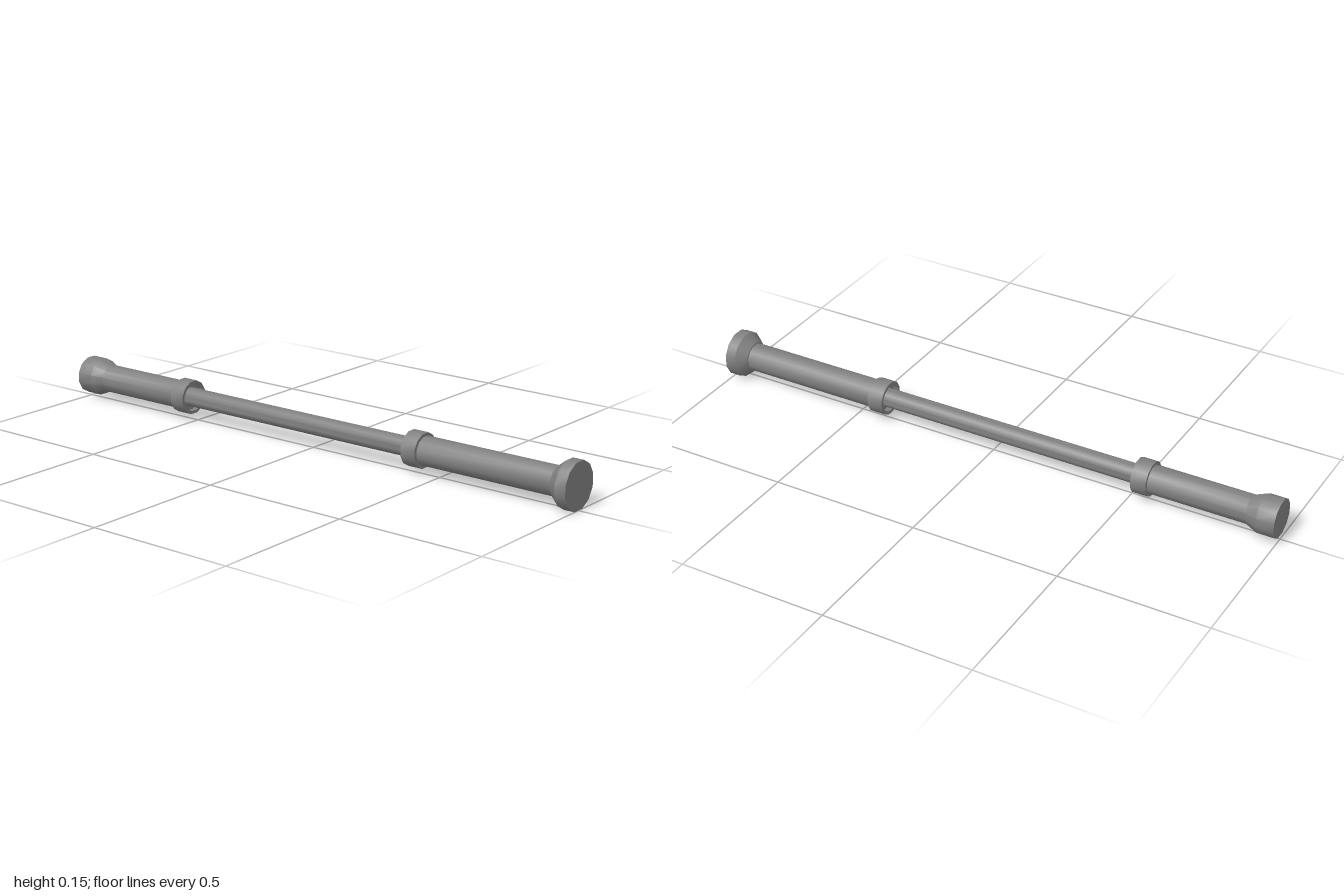
import * as THREE from 'three';
import { toCreasedNormals } from 'three/addons/utils/BufferGeometryUtils.js';

const SIDES = 12;
const AXIS_Y = 0.076;
const FLAT = Math.cos(Math.PI / SIDES); // half width across flats to corner radius

export function createModel() {
  const metal = new THREE.MeshStandardMaterial({ color: 0x808080 });
  metal.name = 'grey metal';

  const group = new THREE.Group();
  group.name = 'telescopicBar';

  // Turned part along x; profile is [x, half width across flats] from -x to +x
  function turned(name, profile) {
    const points = profile.map(([x, r]) => new THREE.Vector2(r / FLAT, x));
    const lathe = new THREE.LatheGeometry(points, SIDES, Math.PI / SIDES);
    lathe.rotateZ(-Math.PI / 2);
    const mesh = new THREE.Mesh(toCreasedNormals(lathe, 0.62), metal);
    mesh.name = name;
    mesh.position.y = AXIS_Y;
    group.add(mesh);
  }

  // Thin inner rod
  turned('innerRod', [[-0.56, 0], [-0.56, 0.031], [0.44, 0.031], [0.44, 0]]);

  // Right grip with a flared butt, and its collar with a shallow bore
  turned('rightGrip', [
    [-1, 0], [-1, 0.062], [-0.94, 0.062], [-0.9, 0.046], [-0.535, 0.046], [-0.535, 0],
  ]);
  turned('rightCollar', [
    [-0.57, 0.046], [-0.57, 0.056], [-0.517, 0.056], [-0.517, 0.046], [-0.54, 0.046],
  ]);

  // Left grip with a cone and flanged end cap, and its collar
  turned('leftGrip', [[0.41, 0], [0.41, 0.046], [0.95, 0.046], [0.95, 0]]);
  turned('leftEndCap', [
    [0.93, 0.046], [0.93, 0.05], [0.963, 0.076], [1, 0.076], [1, 0],
  ]);
  turned('leftCollar', [
    [0.415, 0.046], [0.39, 0.046], [0.39, 0.056], [0.444, 0.056], [0.444, 0.046],
  ]);

  return group;
}
